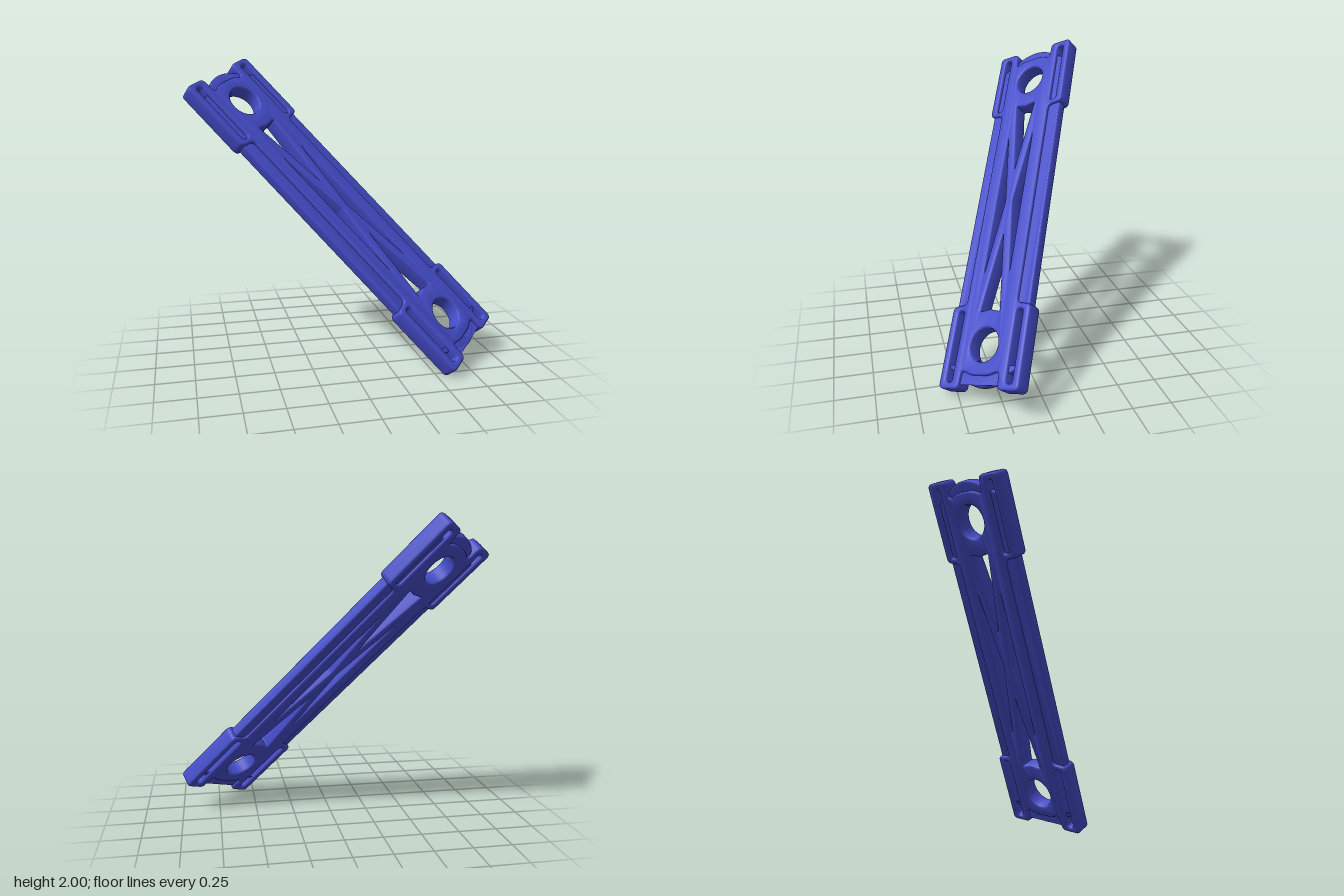
import * as THREE from 'three';
import { toCreasedNormals } from 'three/addons/utils/BufferGeometryUtils.js';

// Closed outline through corner points, each corner rounded by radius r
function rounded(points, r, Type = THREE.Shape) {
  const path = new Type();
  const pts = points.map(([x, y]) => new THREE.Vector2(x, y));
  pts.forEach((p, i) => {
    const a = pts[(i + pts.length - 1) % pts.length], b = pts[(i + 1) % pts.length];
    const toward = (q) => p.clone().lerp(q, Math.min(0.45, r / p.distanceTo(q)));
    const s = toward(a), e = toward(b);
    if (i) path.lineTo(s.x, s.y); else path.moveTo(s.x, s.y);
    path.quadraticCurveTo(p.x, p.y, e.x, e.y);
  });
  path.closePath();
  return path;
}

// Mirror a quarter outline (from +x end to the +y side) into a full one
function mirrored(quarter) {
  const half = [...quarter, ...quarter.map(([x, y]) => [-x, y]).reverse()];
  return [...half, ...half.map(([x, y]) => [x, -y]).reverse()];
}

function cutouts() {
  const holes = [];
  for (const s of [1, -1]) {
    // Pivot hole
    const bore = new THREE.Path();
    bore.absarc(s * 0.97, 0, 0.107, 0, Math.PI * 2, true);
    holes.push(bore);
    // Slots in the end pads
    for (const t of [1, -1]) {
      holes.push(rounded([[s * 0.75, t * 0.23 - 0.024], [s * 1.2, t * 0.23 - 0.024],
        [s * 1.2, t * 0.23 + 0.024], [s * 0.75, t * 0.23 + 0.024]], 0.024, THREE.Path));
    }
    // Truss windows: end triangle and side triangle, leaving crossed braces
    holes.push(rounded([[s * 0.76, -0.075], [s * 0.745, 0], [s * 0.76, 0.075], [s * 0.24, 0]], 0.012, THREE.Path));
    holes.push(rounded([[-0.5, s * 0.102], [0.5, s * 0.102], [0, s * 0.03]], 0.012, THREE.Path));
  }
  return holes;
}

function plate(name, shape, half, bevel, material) {
  shape.holes = cutouts();
  const geo = new THREE.ExtrudeGeometry(shape, {
    depth: 2 * (half - bevel), bevelEnabled: true, bevelThickness: bevel, bevelSize: bevel,
    bevelOffset: -bevel, bevelSegments: 3, curveSegments: 32,
  });
  geo.translate(0, 0, bevel - half);
  const mesh = new THREE.Mesh(toCreasedNormals(geo, 0.7), material);
  mesh.name = name;
  return mesh;
}

export function createModel() {
  const group = new THREE.Group();
  const material = new THREE.MeshStandardMaterial({ color: 0x444cc8 });
  const link = new THREE.Group();
  link.name = 'linkBar';

  // Thick body: end pads, pivot areas and the raised truss
  const thick = rounded(mirrored([
    [1.155, 0.07], [1.125, 0.145], [1.24, 0.15], [1.24, 0.305], [0.72, 0.305], [0.71, 0.2],
  ]), 0.035);
  link.add(plate('raisedBody', thick, 0.055, 0.014, material));

  // Thinner plate: side rails and rounded end lobes
  const thin = new THREE.Shape();
  const a = 0.75;
  thin.moveTo(-1.1, -0.285);
  thin.lineTo(1.1, -0.285);
  thin.absarc(0.97, 0, 0.25, -a, a, false);
  thin.lineTo(1.1, 0.285);
  thin.lineTo(-1.1, 0.285);
  thin.absarc(-0.97, 0, 0.25, Math.PI - a, Math.PI + a, false);
  thin.closePath();
  link.add(plate('sideRailsAndEndLobes', thin, 0.035, 0.012, material));

  // Tilt the bar into its diagonal pose
  const along = new THREE.Vector3(0.633, -0.71, 0.309).normalize();
  const normal = new THREE.Vector3(0.368, 0.627, 0.687);
  const across = normal.clone().cross(along).normalize();
  normal.crossVectors(along, across);
  link.quaternion.setFromRotationMatrix(new THREE.Matrix4().makeBasis(along, across, normal));
  link.position.y = 1;
  group.add(link);
  return group;
}
